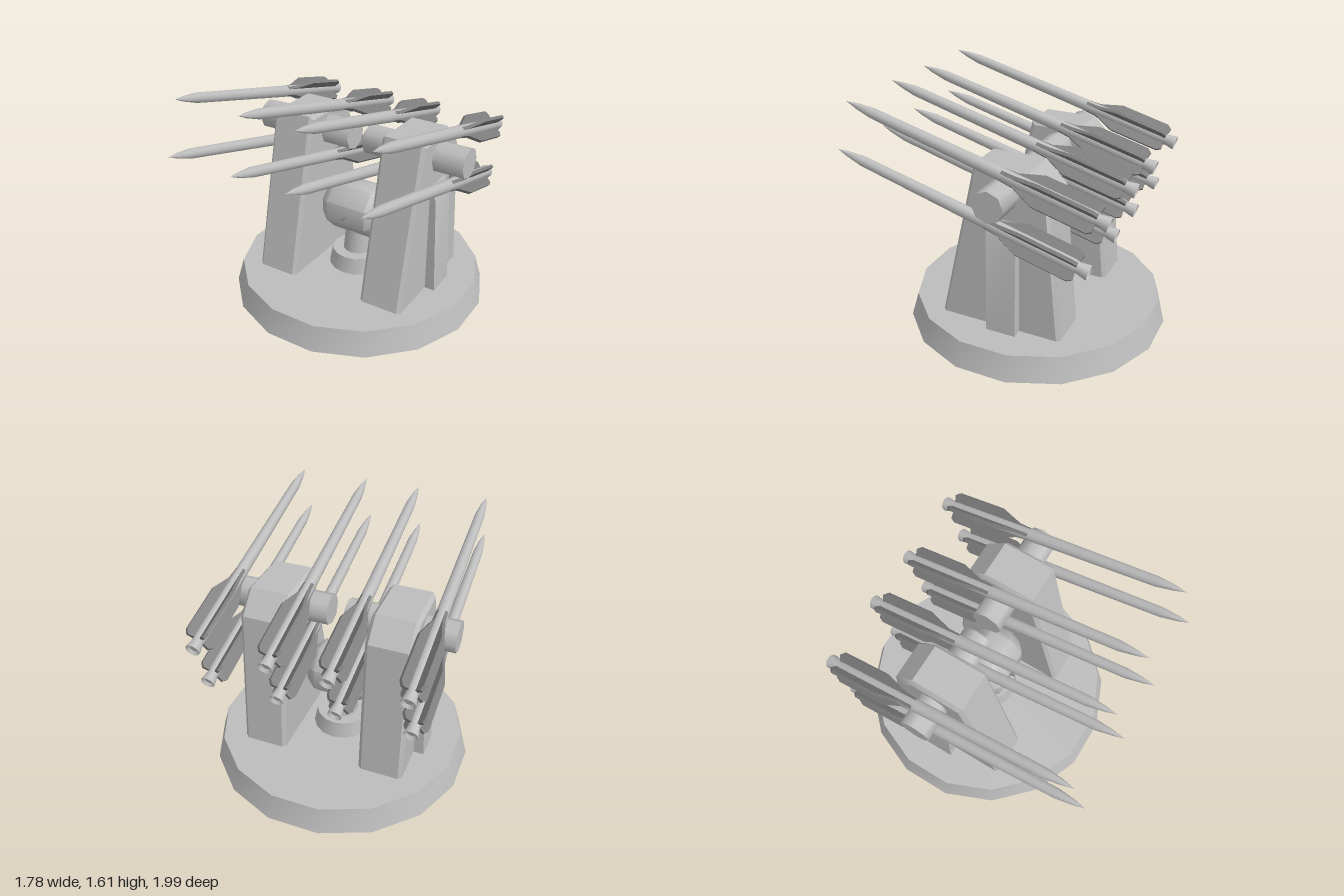
import * as THREE from 'three';
import { toCreasedNormals } from 'three/addons/utils/BufferGeometryUtils.js';

const grey = new THREE.MeshStandardMaterial({ color: 0xbcbcbc });
grey.name = 'light grey';
const dark = new THREE.MeshStandardMaterial({ color: 0x7c7c7c });
dark.name = 'fin grey';

const vecs = (pts) => pts.map(([x, y]) => new THREE.Vector2(x, y));

function add(parent, name, geometry, material = grey, crease = 0.6) {
  const mesh = new THREE.Mesh(toCreasedNormals(geometry, crease), material);
  mesh.name = name;
  parent.add(mesh);
  return mesh;
}

// Extrusion centred on its own depth
function slab(pts, depth, bevel = 0) {
  const g = new THREE.ExtrudeGeometry(new THREE.Shape(vecs(pts)), {
    depth: depth - 2 * bevel, bevelEnabled: bevel > 0, bevelThickness: bevel,
    bevelSize: bevel, bevelOffset: -bevel, bevelSegments: 1,
  });
  return g.translate(0, 0, -depth / 2 + bevel);
}

// Missile along +z, tail at the origin
function createMissile() {
  const missile = new THREE.Group();
  missile.name = 'missile';
  const profile = [[0, 0.02], [0.03, 0.02], [0.046, 0], [0.047, 0.01], [0.036, 0.07],
    [0.041, 0.1], [0.041, 0.75], [0.033, 1.6], [0.018, 1.715], [0, 1.795]];
  add(missile, 'missileBody', new THREE.LatheGeometry(vecs(profile), 12).rotateX(Math.PI / 2), grey, 0.8);
  const fin = [[0.02, 0.08], [0.08, 0.07], [0.102, 0.1], [0.102, 0.45], [0.046, 0.6], [0.036, 0.74], [0.02, 0.74]];
  for (let i = 0; i < 4; i++) {
    add(missile, 'fin', slab(fin, 0.022).rotateX(Math.PI / 2).rotateZ(Math.PI / 4 + i * Math.PI / 2), dark);
  }
  missile.rotation.x = -0.265;
  return missile;
}

// Launcher half: tower, side buttress, trunnion and four missiles
function createLauncher(side) {
  const launcher = new THREE.Group();
  launcher.name = side > 0 ? 'leftLauncher' : 'rightLauncher';
  const tower = [[0.356, 0.1], [0.075, 1.29], [-0.29, 1.29], [-0.43, 1.15], [-0.526, 0.1]];
  add(launcher, 'tower', slab(tower, 0.31, 0.025).rotateY(-Math.PI / 2).translate(side * 0.423, 0, 0));

  const buttress = [[0.54, 0.1], [0.652, 0.1], [0.622, 0.86], [0.575, 0.97], [0.54, 0.97]];
  const rib = slab(buttress, 0.205);
  if (side < 0) rib.rotateY(Math.PI);
  add(launcher, 'buttress', rib.translate(0, 0, -0.133));

  add(launcher, 'trunnion', new THREE.CylinderGeometry(0.105, 0.105, 0.735, 8)
    .rotateZ(Math.PI / 2).translate(side * 0.425, 1.14, -0.135), grey, 0.9);

  for (const x of [0.195, 0.68]) {
    for (const [y, z] of [[1.135, -0.845], [0.8, -0.737]]) {
      const missile = createMissile();
      missile.position.set(side * x, y, z);
      launcher.add(missile);
    }
  }
  return launcher;
}

export function createModel() {
  const model = new THREE.Group();
  model.name = 'missileLauncher';

  // Sixteen-sided base
  add(model, 'base', new THREE.CylinderGeometry(0.857, 0.907, 0.17, 16, 1, false, Math.PI / 16)
    .translate(0, 0.085, -0.11));

  // Central sensor on its pedestal
  add(model, 'pedestal', new THREE.CylinderGeometry(0.185, 0.213, 0.135, 16).translate(0, 0.2175, -0.09));
  add(model, 'neck', new THREE.CylinderGeometry(0.085, 0.108, 0.22, 16).translate(0, 0.39, -0.09));
  const head = [[0, -0.255], [0.065, -0.255], [0.13, -0.22], [0.193, -0.15],
    [0.193, 0.15], [0.13, 0.22], [0.065, 0.255], [0, 0.255]];
  add(model, 'sensorHead', new THREE.LatheGeometry(vecs(head), 8, Math.PI / 8)
    .rotateZ(-Math.PI / 2).translate(0, 0.622, -0.085), grey, 0.9);
  add(model, 'sensorPin', new THREE.CylinderGeometry(0.006, 0.014, 0.05, 8)
    .rotateX(Math.PI / 2).translate(0, 0.612, 0.1), dark);

  for (const side of [-1, 1]) model.add(createLauncher(side));
  return model;
}
